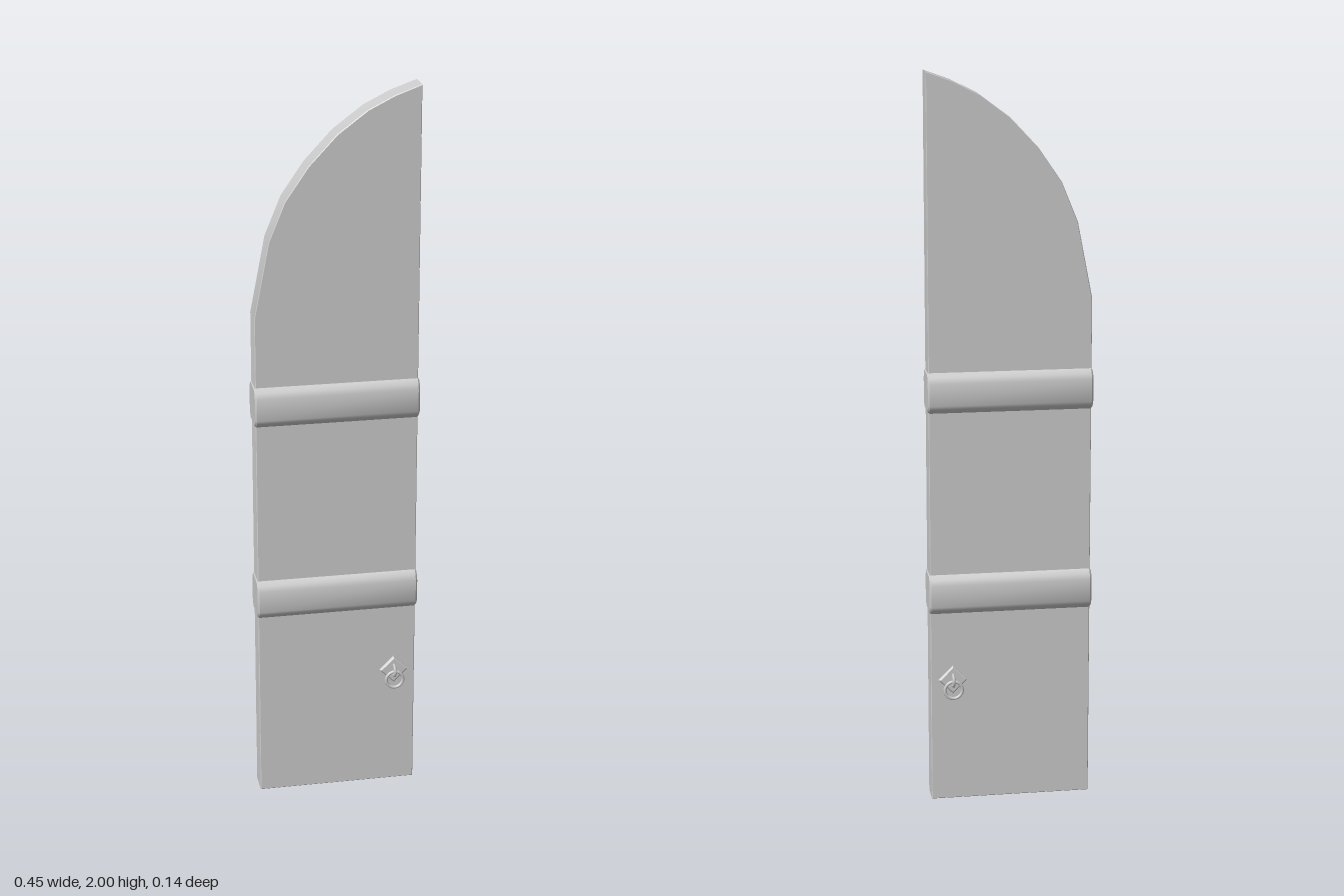
import * as THREE from 'three';
import { toCreasedNormals } from 'three/addons/utils/BufferGeometryUtils.js';

const grey = new THREE.MeshStandardMaterial({ color: 0xcccccc });

function addPart(parent, name, geometry, x = 0, y = 0, z = 0) {
  const mesh = new THREE.Mesh(geometry, grey);
  mesh.name = name;
  mesh.position.set(x, y, z);
  parent.add(mesh);
  return mesh;
}

// Extrudes an outline, centred in depth, with a small chamfer inside its bounds
function slab(points, depth, chamfer) {
  const shape = new THREE.Shape(points.map(([x, y]) => new THREE.Vector2(x, y)));
  const geometry = new THREE.ExtrudeGeometry(shape, {
    depth: depth - 2 * chamfer, bevelEnabled: true, bevelSegments: 1,
    bevelSize: chamfer, bevelThickness: chamfer, bevelOffset: -chamfer,
  });
  geometry.translate(0, 0, chamfer - depth / 2);
  return toCreasedNormals(geometry, 0.6);
}

export function createModel() {
  const model = new THREE.Group();
  model.name = 'archedDoorLeaf';

  // Door leaf: one half of a pointed arch
  addPart(model, 'doorPanel', slab([
    [-0.22, 0], [0.22, 0], [0.22, 2], [0.15, 1.975], [0.08, 1.94], [0, 1.88],
    [-0.075, 1.8], [-0.137, 1.71], [-0.18, 1.605], [-0.22, 1.4],
  ], 0.07, 0.002));

  // Two chamfered bands wrapped around the leaf
  const bandProfile = [
    [-0.036, -0.055], [0.036, -0.055], [0.047, -0.043], [0.052, -0.033],
    [0.052, 0.028], [0.047, 0.043], [0.036, 0.055],
    [-0.036, 0.055], [-0.047, 0.043], [-0.052, 0.028],
    [-0.052, -0.033], [-0.047, -0.043],
  ];
  for (const [name, y] of [['lowerBand', 0.595], ['upperBand', 1.155]]) {
    const geometry = slab(bandProfile, 0.446, 0.005).rotateY(Math.PI / 2);
    addPart(model, name, geometry, 0, y, 0);
  }

  // Ring pull on each face: diamond plate, staple and hanging ring
  for (const [name, side] of [['frontPull', 1], ['backPull', -1]]) {
    const pull = new THREE.Group();
    pull.name = name;
    pull.position.set(0.16, 0.35, side * 0.035);
    if (side < 0) pull.rotation.y = Math.PI;
    const plate = slab([[0, -0.04], [0.04, 0], [0, 0.04], [-0.04, 0]], 0.012, 0.004);
    addPart(pull, 'diamondPlate', plate, 0, 0, 0.004);
    const staple = new THREE.TorusGeometry(0.016, 0.004, 8, 20).rotateY(Math.PI / 2);
    addPart(pull, 'staple', staple, 0, 0, 0.013);
    const ring = new THREE.TorusGeometry(0.024, 0.0045, 8, 28);
    addPart(pull, 'ring', ring, 0, -0.025, 0.021);
    model.add(pull);
  }
  return model;
}
